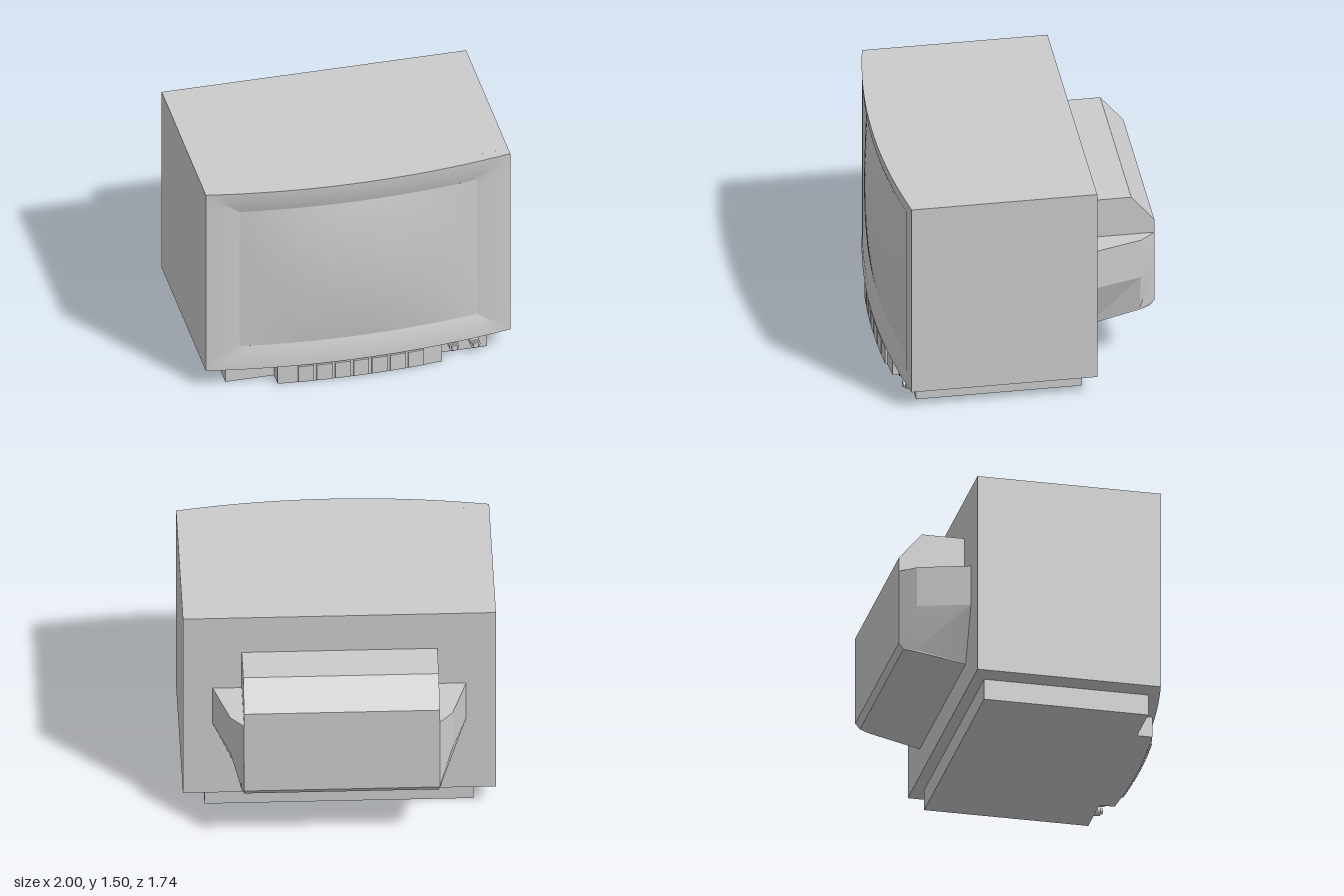
import * as THREE from 'three';
import { toCreasedNormals } from 'three/addons/utils/BufferGeometryUtils.js';

const material = new THREE.MeshStandardMaterial({ color: 0xcccccc });
const lerp = THREE.MathUtils.lerp;

// Depth of the gently bowed front at a given x
const frontZ = (x) => 0.855 - 0.095 * x * x;

// Skin between successive rows of [x, y, z] points
function loft(rows, closed, crease = 0.35) {
  const n = rows[0].length;
  const index = [];
  for (let k = 0; k < rows.length - 1; k++) {
    for (let i = 0; i < (closed ? n : n - 1); i++) {
      const j = (i + 1) % n;
      const a = k * n + i, b = k * n + j, c = b + n, d = a + n;
      index.push(a, b, c, a, c, d);
    }
  }
  const g = new THREE.BufferGeometry();
  g.setAttribute('position', new THREE.Float32BufferAttribute(rows.flat(2), 3));
  g.setIndex(index);
  return toCreasedNormals(g, crease);
}

// Block with a flat back and a bowed front, from y0 to y1
function bowedBlock(halfWidth, back, inset, y0, y1, steps = 32) {
  const shape = new THREE.Shape();
  shape.moveTo(-halfWidth, -back);
  for (let i = 0; i <= steps; i++) {
    const x = lerp(-halfWidth, halfWidth, i / steps);
    shape.lineTo(x, -(frontZ(x) - inset));
  }
  shape.lineTo(halfWidth, -back);
  const g = new THREE.ExtrudeGeometry(shape, { depth: y1 - y0, bevelEnabled: false });
  g.rotateX(-Math.PI / 2).translate(0, y0, 0);
  return toCreasedNormals(g, 0.35);
}

// Rectangular ring following the bowed front
function frameRing(hw, y0, y1, dz, steps = 24) {
  const corners = [[-hw, y0], [hw, y0], [hw, y1], [-hw, y1]];
  const ring = [];
  corners.forEach(([ax, ay], c) => {
    const [bx, by] = corners[(c + 1) % 4];
    for (let i = 0; i < steps; i++) {
      const x = lerp(ax, bx, i / steps);
      ring.push([x, lerp(ay, by, i / steps), frontZ(x) + dz]);
    }
  });
  return ring;
}

export function createModel() {
  const model = new THREE.Group();
  const add = (name, geometry, parent = model) => {
    const mesh = new THREE.Mesh(geometry, material);
    mesh.name = name;
    parent.add(mesh);
    return mesh;
  };

  // Cabinet and mitred screen surround
  add('cabinet', bowedBlock(1, -0.44, 0.07, 0.14, 1.5));
  add('screenFrame', loft([
    frameRing(1, 0.14, 1.5, -0.07),
    frameRing(1, 0.14, 1.5, 0),
    frameRing(0.89, 0.22, 1.42, -0.005),
    frameRing(0.78, 0.3, 1.34, -0.03),
  ], true));

  // Bulging glass
  const glass = [];
  for (let j = 0; j <= 20; j++) {
    const v = j / 10 - 1;
    const row = [];
    for (let i = 0; i <= 28; i++) {
      const u = i / 14 - 1, x = 0.78 * u;
      row.push([x, 0.82 + 0.52 * v, frontZ(x) - 0.03 + 0.043 * (1 - u * u) * (1 - v * v)]);
    }
    glass.push(row);
  }
  add('screen', loft(glass, false));

  // Upper rear housing with a sloped top edge
  const profile = new THREE.Shape();
  profile.moveTo(0.44, 0.955);
  profile.lineTo(0.87, 0.955);
  profile.lineTo(0.87, 1.05);
  profile.lineTo(0.72, 1.23);
  profile.lineTo(0.44, 1.23);
  const upper = new THREE.ExtrudeGeometry(profile, { depth: 1.25, bevelEnabled: false });
  upper.rotateY(Math.PI / 2).translate(-0.625, 0, 0);
  add('upperRearHousing', upper);

  // Lower rear housing: wide shoulders tapering to a sloped underside
  const mirrored = (half) => [...half, ...half.map(([x, y, z]) => [-x, y, z]).reverse()];
  const shoulder = (y) => mirrored([[-0.81, y, -0.44], [-0.71, y, -0.77], [-0.625, y, -0.87]]);
  const flatten = (row, y) => row.map(([x]) => [x, y, -0.44]);
  const keel = mirrored([[-0.66, 0.33, -0.44], [-0.64, 0.396, -0.77], [-0.62, 0.41, -0.84]]);
  add('lowerRearHousing', loft([
    flatten(shoulder(0.955), 0.955),
    shoulder(0.955),
    shoulder(0.68),
    mirrored([[-0.66, 0.335, -0.44], [-0.64, 0.405, -0.77], [-0.625, 0.45, -0.87]]),
    keel,
    flatten(keel, 0.33),
  ], false, 0.2));

  // Base and the bowed control strip in front of it
  add('base', new THREE.BoxGeometry(1.72, 0.14, 1.075).translate(0, 0.07, 0.1725));
  add('controlStrip', bowedBlock(0.54, 0.7, 0.018, 0, 0.14, 16));

  // Row of push buttons
  const buttons = new THREE.Group();
  buttons.name = 'buttons';
  model.add(buttons);
  for (let i = -3; i <= 3; i++) {
    const x = i * 0.12;
    const button = add('button', new THREE.BoxGeometry(0.1, 0.118, 0.04), buttons);
    button.position.set(x, 0.069, frontZ(x) - 0.022);
    button.rotation.y = Math.atan(0.19 * x);
  }

  // Two round knobs beside the strip
  const knobs = new THREE.Group();
  knobs.name = 'knobs';
  model.add(knobs);
  for (const x of [0.63, 0.77]) {
    const knob = new THREE.Group();
    knob.name = 'knob';
    knob.position.set(x, 0.068, 0.71);
    knobs.add(knob);
    add('knobBody', new THREE.CylinderGeometry(0.032, 0.032, 0.055, 20)
      .rotateX(Math.PI / 2).translate(0, 0, 0.0275), knob);
    add('knobCap', new THREE.CylinderGeometry(0.02, 0.02, 0.018, 20)
      .rotateX(Math.PI / 2).translate(0, 0, 0.063), knob);
  }

  return model;
}
